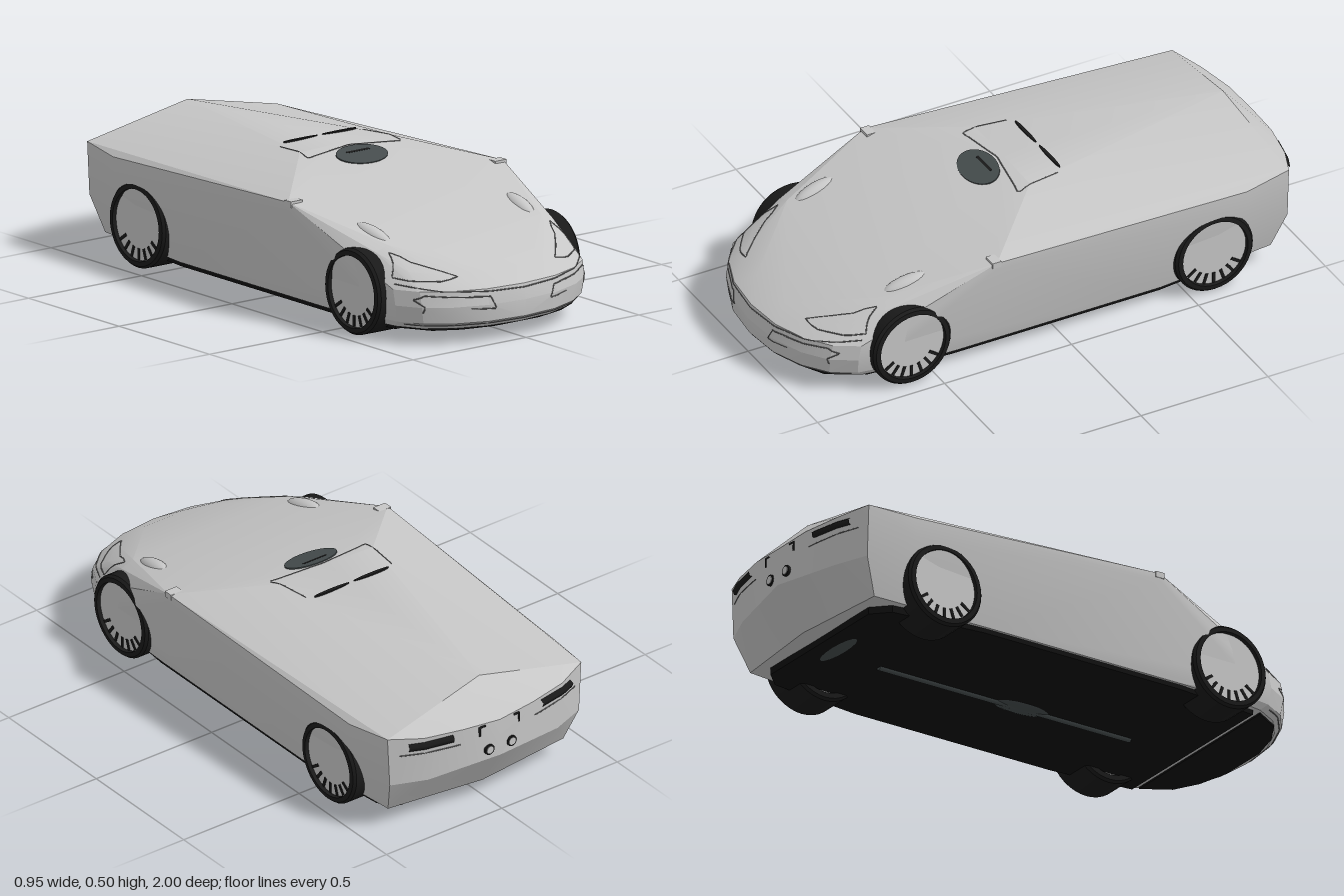
import * as THREE from 'three';
import { toCreasedNormals } from 'three/addons/utils/BufferGeometryUtils.js';
import { ConvexGeometry } from 'three/addons/geometries/ConvexGeometry.js';

const material = (name, color) => {
  const m = new THREE.MeshStandardMaterial({ color });
  m.name = name;
  return m;
};

export function createModel() {
  const car = new THREE.Group();
  car.name = 'car';
  const paint = material('silver paint', 0xc6c6c6);
  const black = material('black rubber', 0x1a1a1a);
  const under = material('underbody black', 0x101010);
  const glass = material('dark glass', 0x454c4d);
  const seamGrey = material('seam grey', 0x707070);

  const add = (name, geometry, mat, x = 0, y = 0, z = 0, parent = car) => {
    const mesh = new THREE.Mesh(geometry, mat);
    mesh.name = name;
    mesh.position.set(x, y, z);
    parent.add(mesh);
    return mesh;
  };

  // Wedge body: half of the corner points, mirrored across x
  const upper = [
    [0, 0.5, 0], [0.2, 0.495, 0], [0, 0.48, -0.87],            // roof
    [0.475, 0.417, 0.28], [0.475, 0.39, 0.28],                 // shoulder
    [0.449, 0.375, -0.72], [0.447, 0.3, -0.72], [0.42, 0.39, -0.9],
    [0, 0.317, 0.66], [0.34, 0.32, 0.66], [0.39, 0.3, 0.66],   // hood
    [0.1, 0.237, 0.91], [0.25, 0.24, 0.87], [0.35, 0.25, 0.79],
  ];
  const rear = [
    [0.41, 0.2, -0.9], [0.3, 0.375, -0.95], [0.15, 0.37, -0.98], [0, 0.36, -0.99],
    [0, 0.22, -0.995], [0.28, 0.2, -0.95], [0.38, 0.07, -0.85], [0, 0.065, -0.89],
    [0.41, 0.057, -0.4], [0.41, 0.057, 0.4],
  ];
  const nose = [[0, 1], [0.15, 0.985], [0.27, 0.94], [0.36, 0.875], [0.41, 0.79], [0.428, 0.68]];
  const half = [...upper, ...rear];
  nose.forEach(([x, z]) => half.push(
    [x, 0.195, z - 0.012], [x, 0.14, z], [x * 0.97, 0.08, z - 0.005], [x * 0.94, 0.057, z - 0.03]));
  const points = half.flatMap(([x, y, z]) =>
    [new THREE.Vector3(x, y, z), ...(x ? [new THREE.Vector3(-x, y, z)] : [])]);
  const body = add('body', toCreasedNormals(new ConvexGeometry(points), 0.3), paint);
  body.updateMatrixWorld();

  // Seams are laid on the body by casting along one axis
  const ray = new THREE.Raycaster();
  const onBody = (a, b, axis) => {
    const start = { front: [a, b, 3], back: [a, b, -3], top: [a, 3, b] }[axis];
    const dir = { front: [0, 0, -1], back: [0, 0, 1], top: [0, -1, 0] }[axis];
    ray.set(new THREE.Vector3(...start), new THREE.Vector3(...dir));
    const hit = ray.intersectObject(body)[0];
    return hit ? hit.point : null;
  };
  const seam = (name, path, axis, mat = seamGrey, radius = 0.0022) => {
    const pts = [];
    for (let i = 0; i + 1 < path.length; i++) {
      for (let k = 0; k < 6; k++) {
        const t = k / 6;
        const p = onBody(
          path[i][0] + (path[i + 1][0] - path[i][0]) * t,
          path[i][1] + (path[i + 1][1] - path[i][1]) * t, axis);
        if (p) pts.push(p);
      }
    }
    const end = onBody(...path[path.length - 1], axis);
    if (end) pts.push(end);
    if (pts.length > 1) {
      add(name, new THREE.TubeGeometry(new THREE.CatmullRomCurve3(pts), pts.length * 2, radius, 5), mat);
    }
  };
  const seams = {
    headlightOutline: [[0.395, 0.23], [0.355, 0.3], [0.335, 0.29], [0.32, 0.275], [0.25, 0.248],
      [0.215, 0.233], [0.28, 0.222], [0.37, 0.225], [0.395, 0.23]],
    bumperCrease: [[0.4, 0.212], [0.3, 0.195], [0.12, 0.185], [0, 0.182]],
    intakeOutline: [[0.21, 0.172], [0.14, 0.168], [0.12, 0.125], [0.21, 0.13]],
    cornerVent: [[0.2, 0.17], [0.35, 0.18], [0.375, 0.165], [0.35, 0.14], [0.355, 0.12]],
    lowerLip: [[0.38, 0.072], [0.2, 0.072], [0, 0.072]],
  };
  for (const s of [1, -1]) {
    for (const [name, path] of Object.entries(seams)) {
      seam(name, path.map(([x, y]) => [x * s, y]), 'front');
    }
    // Fender bulge, mirror stub
    const bulge = add('fenderBulge', new THREE.SphereGeometry(1, 20, 12), paint, s * 0.325, 0.335, 0.56);
    bulge.scale.set(0.032, 0.026, 0.085);
    bulge.rotation.set(0.25, s * -0.1, 0);
    add('mirrorStub', new THREE.BoxGeometry(0.05, 0.022, 0.035), paint, s * 0.452, 0.411, 0.28);
    // Tail lamps, exhausts and rear brackets
    seam('tailLamp', [[s * 0.19, 0.345], [s * 0.35, 0.345]], 'back', black, 0.014);
    add('exhaust', new THREE.CylinderGeometry(0.02, 0.02, 0.02, 20).rotateX(Math.PI / 2),
      black, s * 0.048, 0.257, -0.986);
    add('exhaustCore', new THREE.CylinderGeometry(0.014, 0.014, 0.022, 20).rotateX(Math.PI / 2),
      paint, s * 0.048, 0.257, -0.987);
    seam('rearBracket', [[s * 0.06, 0.355], [s * 0.085, 0.355], [s * 0.085, 0.32]], 'back', black, 0.004);
    seam('rearSeam', [[s * 0.16, 0.31], [s * 0.38, 0.315]], 'back');
    // Roof slits
    const slit = add('roofSlit', new THREE.CylinderGeometry(1, 1, 0.006, 24), black, s * 0.085, 0.4965, -0.14);
    slit.scale.set(0.075, 1, 0.007);
  }

  // Roof hatch and the dark dome on the windscreen
  seam('roofHatch', [[-0.19, -0.12], [-0.2, 0.045], [0, 0.02], [0.21, 0.05], [0.18, -0.12]], 'top');
  const dome = add('roofGlass', new THREE.CylinderGeometry(1, 1, 0.008, 32), glass, 0, 0.474, 0.093);
  dome.scale.set(0.104, 1, 0.065);
  dome.rotation.x = 0.27;
  const slot = add('roofGlassSlot', new THREE.BoxGeometry(0.1, 0.008, 0.01), black, 0, 0.481, 0.07);
  slot.rotation.x = 0.27;

  // Flat floor and front splitter
  const plate = (name, outline, top, depth) => {
    const pts = [...outline, ...outline.slice().reverse().map(([x, z]) => [-x, z])];
    const shape = new THREE.Shape(pts.map(([x, z]) => new THREE.Vector2(x, z)));
    add(name, new THREE.ExtrudeGeometry(shape, { depth, bevelEnabled: false }).rotateX(Math.PI / 2), under, 0, top, 0);
  };
  plate('floorPan', [[0.3, -0.82], [0.36, -0.76], [0.4, -0.4], [0.4, 0.42], [0.37, 0.74]], 0.066, 0.026);
  plate('frontSplitter', [[0.37, 0.77], [0.31, 0.87], [0.22, 0.92], [0.1, 0.95]], 0.062, 0.012);

  // Driveline under the floor
  add('driveShaft', new THREE.CylinderGeometry(0.012, 0.012, 1.05, 12).rotateX(Math.PI / 2), glass, 0.04, 0.042, -0.02);
  const gearbox = add('gearbox', new THREE.SphereGeometry(1, 16, 10), glass, 0.04, 0.045, 0.05);
  gearbox.scale.set(0.047, 0.014, 0.12);
  const muffler = add('muffler', new THREE.SphereGeometry(1, 16, 10), glass, 0, 0.055, -0.74);
  muffler.scale.set(0.2, 0.018, 0.05);

  // Wheels: axis along x, outer face towards +x
  const R = 0.153;
  const tyreProfile = [[0.126, -0.078], [0.145, -0.078], [R, -0.068], [R, 0.068], [0.145, 0.078],
    [0.128, 0.08], [0.126, 0.06], [0.126, -0.078]].map(([r, y]) => new THREE.Vector2(r, y));
  const tyre = toCreasedNormals(
    new THREE.LatheGeometry(tyreProfile, 40).rotateZ(-Math.PI / 2), 0.5);
  for (const s of [1, -1]) {
    for (const [label, z] of [['front', 0.595], ['rear', -0.595]]) {
      const wheel = new THREE.Group();
      wheel.name = label + 'Wheel';
      wheel.position.set(s * 0.37, R + 0.003, z);
      if (s < 0) wheel.rotation.y = Math.PI;
      car.add(wheel);
      add('tyre', tyre, black, 0, 0, 0, wheel);
      add('rim', new THREE.CylinderGeometry(0.127, 0.127, 0.13, 40).rotateZ(-Math.PI / 2), paint, 0, 0, 0, wheel);
      // Dark gaps between the spokes along the lower rim
      for (let i = -3; i <= 3; i++) {
        const gap = new THREE.Group();
        gap.rotation.x = i * 0.32;
        wheel.add(gap);
        add('spokeGap', new THREE.BoxGeometry(0.006, 0.04, 0.011), black, 0.065, -0.105, 0, gap);
      }
    }
  }
  return car;
}
